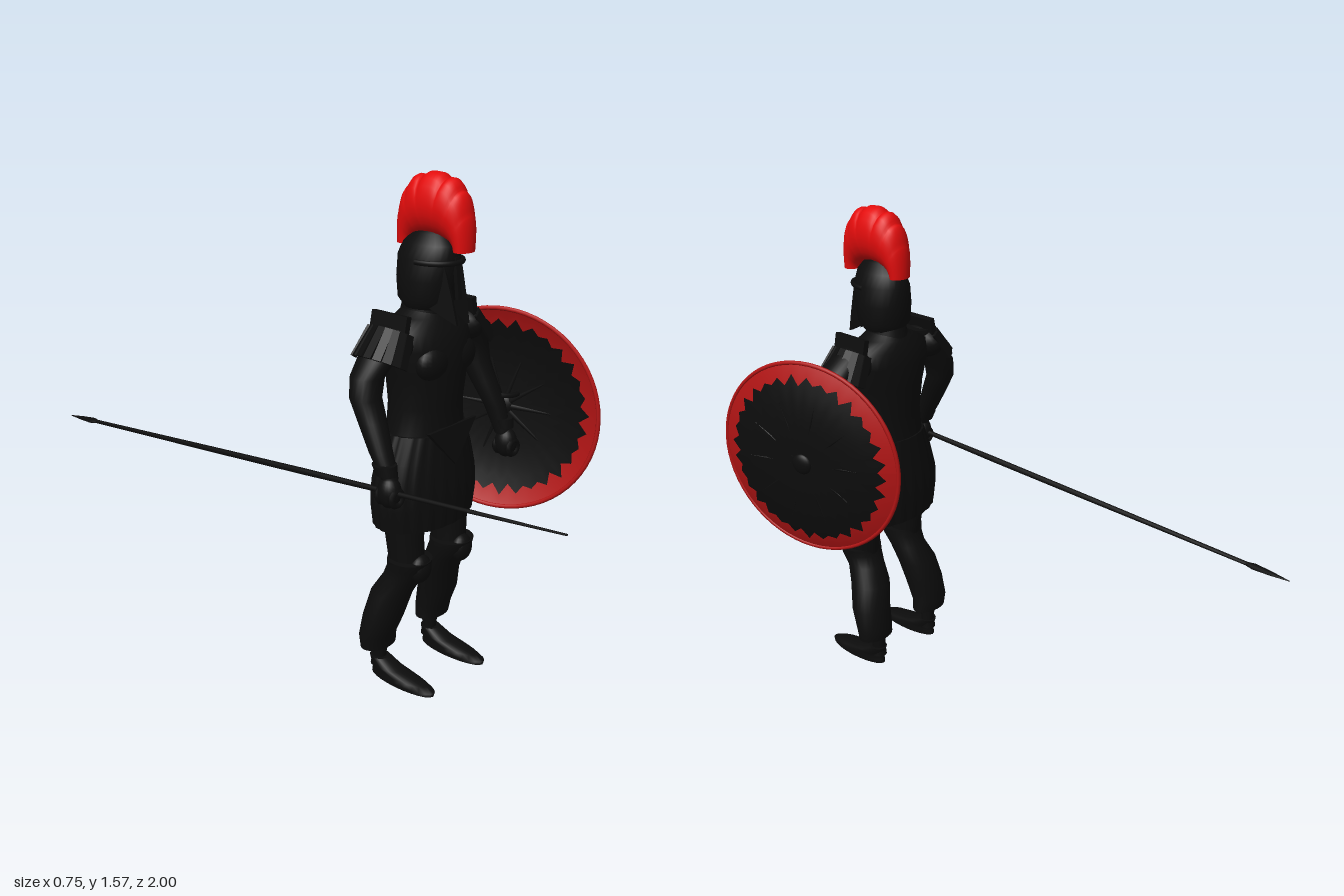
import * as THREE from 'three';

const black = new THREE.MeshStandardMaterial({ color: 0x0c0c0c });
black.name = 'black armour';
black.side = THREE.DoubleSide;
const crestRed = new THREE.MeshStandardMaterial({ color: 0xe30c0c });
crestRed.name = 'crest red';
const rimRed = new THREE.MeshStandardMaterial({ color: 0xb01414 });
rimRed.name = 'shield red';
rimRed.side = THREE.DoubleSide;

function add(parent, name, geometry, material = black, pos = [0, 0, 0], scale = [1, 1, 1]) {
  const mesh = new THREE.Mesh(geometry, material);
  mesh.name = name;
  mesh.position.set(...pos);
  mesh.scale.set(...scale);
  parent.add(mesh);
  return mesh;
}

// Skin over closed rings of points, with flat caps at both ends
function skin(rings) {
  const pos = [], idx = [], n = rings[0].length;
  rings.forEach(r => r.forEach(p => pos.push(...p)));
  for (let i = 0; i < rings.length - 1; i++) {
    for (let j = 0; j < n; j++) {
      const a = i * n + j, b = i * n + (j + 1) % n;
      idx.push(a, b, b + n, a, b + n, a + n);
    }
  }
  [rings[0], rings[rings.length - 1]].forEach((ring, end) => {
    const base = pos.length / 3;
    ring.forEach(p => pos.push(...p));
    pos.push(...[0, 1, 2].map(k => ring.reduce((s, p) => s + p[k], 0) / n));
    for (let j = 0; j < n; j++) {
      const a = base + j, b = base + (j + 1) % n;
      idx.push(base + n, ...(end ? [a, b] : [b, a]));
    }
  });
  const g = new THREE.BufferGeometry();
  g.setAttribute('position', new THREE.Float32BufferAttribute(pos, 3));
  g.setIndex(idx);
  g.computeVertexNormals();
  return g;
}

// Elliptical sections from bottom to top: [y, centre x, centre z, radius x, radius z]
function loft(rows, n = 24, folds = 0, depth = 0) {
  return skin(rows.map(([y, cx, cz, rx, rz]) => Array.from({ length: n }, (_, j) => {
    const a = j / n * Math.PI * 2, f = 1 + depth * Math.cos(a * folds);
    return [cx + rx * f * Math.sin(a), y, cz + rz * f * Math.cos(a)];
  })));
}

const ball = new THREE.SphereGeometry(1, 20, 14);
const X = -0.02;

function buildTorso(g) {
  add(g, 'cuirass', loft([[0.72, X, 0.335, 0.16, 0.108], [0.82, X, 0.335, 0.135, 0.1],
    [0.9, X, 0.335, 0.126, 0.1], [1.0, X, 0.335, 0.136, 0.11], [1.08, X, 0.33, 0.16, 0.112],
    [1.13, X, 0.325, 0.155, 0.095], [1.16, X, 0.32, 0.09, 0.075], [1.18, X, 0.32, 0.06, 0.06]], 32));
  for (const s of [-1, 1]) {
    add(g, 'chestPlate', ball, black, [X + s * 0.06, 1.04, 0.405], [0.065, 0.055, 0.04]);
  }
  add(g, 'skirt', loft([[0.53, X, 0.335, 0.188, 0.118], [0.6, X, 0.335, 0.198, 0.123],
    [0.66, X, 0.335, 0.197, 0.122], [0.74, X, 0.335, 0.175, 0.113], [0.82, X, 0.335, 0.143, 0.105]], 96, 24, 0.012));
  // Pointed lower edge of the breastplate
  const apron = new THREE.Shape([[-0.11, 0.12], [0, 0], [0.11, 0.12]].map(p => new THREE.Vector2(...p)));
  const plate = add(g, 'bellyPlate', new THREE.ExtrudeGeometry(apron, { depth: 0.012, bevelEnabled: false }),
    black, [X, 0.72, 0.444]);
  plate.rotation.x = -0.12;
  add(g, 'neck', loft([[1.13, X, 0.315, 0.07, 0.075], [1.24, X, 0.325, 0.05, 0.06]]));
}

function buildHelmet(g) {
  const hx = -0.018;
  add(g, 'helmetBowl', loft([[1.185, hx, 0.33, 0.066, 0.065], [1.21, hx, 0.33, 0.08, 0.088],
    [1.27, hx, 0.332, 0.084, 0.096], [1.33, hx, 0.335, 0.076, 0.1], [1.37, hx, 0.338, 0.06, 0.088],
    [1.4, hx, 0.34, 0.038, 0.06], [1.415, hx, 0.34, 0.012, 0.02]], 28));
  // Cheek guards sweeping forward and down
  const cheek = new THREE.Shape([[0.32, 1.33], [0.32, 1.21], [0.385, 1.195], [0.478, 1.15], [0.462, 1.22],
    [0.44, 1.3], [0.43, 1.33]].map(([z, y]) => new THREE.Vector2(-z, y)));
  const cheekGeo = new THREE.ExtrudeGeometry(cheek, { depth: 0.012, bevelEnabled: false });
  cheekGeo.rotateY(Math.PI / 2);
  for (const s of [-1, 1]) {
    const c = add(g, 'cheekGuard', cheekGeo, black, [hx + s * 0.05 - 0.006 + s * 0.095, 0, 0]);
    c.rotation.y = -s * 0.26;
  }
  const nose = add(g, 'noseGuard', new THREE.BoxGeometry(0.016, 0.12, 0.012), black, [hx, 1.28, 0.438]);
  nose.rotation.x = -0.12;
  add(g, 'browRidge', new THREE.TorusGeometry(0.09, 0.008, 8, 32, Math.PI), black, [hx, 1.325, 0.345], [0.85, 1.05, 1])
    .rotation.x = Math.PI / 2;

  // Scalloped plume arching from front to back
  const steps = 72, lobes = 7, rings = [];
  for (let i = 0; i <= steps; i++) {
    const t = i / steps * Math.PI, c = Math.cos(t), s = Math.sin(t);
    const lobe = 0.92 + 0.08 * Math.sqrt(Math.abs(Math.sin(t * lobes)));
    const oz = 0.128 * Math.sign(c) * Math.abs(c) ** 0.75 * (0.95 + 0.05 * lobe);
    const oy = 0.212 * Math.abs(s) ** 0.75 * lobe;
    const iz = 0.075 * c, iy = 0.035 * s;
    const w = (0.038 + 0.022 * s) * (0.85 + 0.15 * lobe);
    rings.push(Array.from({ length: 20 }, (_, j) => {
      const a = j / 20 * Math.PI * 2, k = (1 + Math.cos(a)) / 2;
      return [hx + w * Math.sin(a), 1.36 + iy + (oy - iy) * k, 0.357 + iz + (oz - iz) * k];
    }));
  }
  add(g, 'crest', skin(rings), crestRed);
}

function buildArms(g) {
  add(g, 'rightArm', loft([[0.75, -0.285, 0.425, 0.024, 0.026], [0.82, -0.283, 0.39, 0.034, 0.035],
    [0.9, -0.27, 0.345, 0.042, 0.043], [0.96, -0.265, 0.315, 0.048, 0.046], [1.02, -0.252, 0.31, 0.05, 0.05],
    [1.1, -0.195, 0.32, 0.056, 0.062], [1.15, -0.165, 0.325, 0.04, 0.05]]));
  add(g, 'leftArm', loft([[0.73, 0.27, 0.415, 0.024, 0.026], [0.82, 0.262, 0.385, 0.034, 0.035],
    [0.9, 0.245, 0.35, 0.042, 0.042], [0.96, 0.24, 0.32, 0.046, 0.046], [1.02, 0.235, 0.31, 0.05, 0.05],
    [1.08, 0.212, 0.32, 0.06, 0.058], [1.14, 0.14, 0.325, 0.045, 0.05]]));
  for (const [name, x, y, z] of [['rightHand', -0.291, 0.712, 0.43], ['leftHand', 0.274, 0.7, 0.425]]) {
    add(g, name, ball, black, [x, y, z], [0.034, 0.048, 0.036]);
    for (let i = 0; i < 4; i++) {
      add(g, 'finger', new THREE.TorusGeometry(0.022, 0.01, 6, 14), black, [x, y - 0.012, z - 0.024 + i * 0.017]);
    }
    add(g, 'cuff', loft([[y + 0.05, x, z - 0.01, 0.03, 0.032], [y + 0.08, x, z - 0.02, 0.036, 0.036]], 16));
  }
  // Layered shoulder plates with hanging straps
  for (const s of [-1, 1]) {
    const p = new THREE.Group();
    p.name = 'shoulderGuard';
    p.position.set(X + s * 0.165, 1.1, 0.325);
    p.rotation.z = s * 0.5;
    add(p, 'shoulderCap', ball, black, [0, 0, 0], [0.052, 0.058, 0.085]);
    for (let i = 0; i < 9; i++) {
      const a = (i / 8 - 0.5) * 2.7;
      const strap = add(p, 'strap', new THREE.BoxGeometry(0.008, 0.1, 0.026), black,
        [s * 0.055 * Math.cos(a), -0.01, 0.085 * Math.sin(a)]);
      strap.rotation.set(0, -s * a, s * 0.2);
    }
    const collar = add(p, 'raisedPlate', new THREE.BoxGeometry(0.02, 0.085, 0.13), black, [s * 0.015, 0.045, 0]);
    collar.rotation.z = -s * 0.3;
    g.add(p);
  }
}

function buildLegs(g) {
  for (const s of [-1, 1]) {
    const leg = new THREE.Group();
    leg.name = s > 0 ? 'leftLeg' : 'rightLeg';
    const part = (name, rows) => add(leg, name,
      loft(rows.map(([y, off, ...rest]) => [y, X + s * off, ...rest])));
    part('thigh', [[0.38, 0.1, 0.36, 0.05, 0.055], [0.5, 0.105, 0.35, 0.055, 0.062], [0.64, 0.1, 0.34, 0.075, 0.08]]);
    part('greave', [[0.11, 0.134, 0.275, 0.067, 0.044], [0.15, 0.138, 0.276, 0.068, 0.05],
      [0.22, 0.133, 0.295, 0.07, 0.06], [0.3, 0.116, 0.313, 0.07, 0.062], [0.36, 0.102, 0.345, 0.062, 0.06],
      [0.4, 0.1, 0.367, 0.068, 0.066], [0.425, 0.102, 0.37, 0.07, 0.068]]);
    part('ankle', [[0.03, 0.125, 0.272, 0.026, 0.028], [0.07, 0.124, 0.272, 0.022, 0.022], [0.14, 0.128, 0.275, 0.034, 0.034]]);
    part('foot', [[0, 0.126, 0.37, 0.038, 0.122], [0.012, 0.126, 0.372, 0.041, 0.123],
      [0.024, 0.126, 0.36, 0.037, 0.105], [0.038, 0.126, 0.31, 0.036, 0.06], [0.062, 0.126, 0.275, 0.03, 0.032]]);
    add(leg, 'kneeCap', ball, black, [X + s * 0.1, 0.4, 0.41], [0.04, 0.045, 0.03]);
    g.add(leg);
  }
}

function buildShield(g) {
  const shield = new THREE.Group(), R = 0.327;
  shield.name = 'shield';
  const height = r => 0.052 * (1 - (r / R) ** 3);
  const jag = i => 0.27 + (i % 2 ? 0.016 : -0.008) + 0.006 * Math.sin(i * 2.3);
  // Domed ring between two radius rules
  const dish = (inner, outer) => {
    const n = 64, geo = new THREE.RingGeometry(0, 1, n, 8), p = geo.attributes.position;
    for (let v = 0; v < p.count; v++) {
      const i = v % (n + 1), k = Math.floor(v / (n + 1)) / 8, a = i / n * Math.PI * 2;
      const r = inner(i % n) + (outer(i % n) - inner(i % n)) * k;
      p.setXYZ(v, r * Math.cos(a), r * Math.sin(a), height(r));
    }
    geo.computeVertexNormals();
    return geo;
  };
  add(shield, 'shieldFace', dish(() => 0, jag));
  add(shield, 'shieldBorder', dish(jag, () => R), rimRed);
  add(shield, 'shieldEdge', new THREE.TorusGeometry(R - 0.003, 0.007, 8, 64), rimRed);
  add(shield, 'boss', ball, black, [0, 0, 0.05], [0.035, 0.035, 0.015]);
  for (let i = 0; i < 10; i++) {
    const a = i / 10 * Math.PI * 2;
    const rib = add(shield, 'rib', new THREE.ConeGeometry(0.009, 0.18, 6), black,
      [0.12 * Math.cos(a), 0.12 * Math.sin(a), 0.047], [1, 1, 0.6]);
    rib.rotation.z = a - Math.PI / 2;
  }
  add(shield, 'armBand', new THREE.TorusGeometry(0.05, 0.008, 6, 20, Math.PI), black, [0, 0.05, 0.04])
    .rotation.x = -Math.PI / 2;
  shield.position.set(0.2725, 0.8, 0.387);
  shield.quaternion.setFromUnitVectors(new THREE.Vector3(0, 0, 1), new THREE.Vector3(0.963, -0.03, -0.268).normalize());
  g.add(shield);
}

function buildSpear(g) {
  const spear = new THREE.Group();
  spear.name = 'spear';
  add(spear, 'shaft', loft([[-1.003, 0, 0, 0.003, 0.003], [-0.7, 0, 0, 0.006, 0.006], [-0.1, 0, 0, 0.01, 0.01],
    [0.3, 0, 0, 0.009, 0.009], [0.88, 0, 0, 0.006, 0.006]], 10));
  add(spear, 'spearHead', loft([[0.86, 0, 0, 0.007, 0.006], [0.885, 0, 0, 0.017, 0.007],
    [0.94, 0, 0, 0.01, 0.006], [1.003, 0, 0, 0.001, 0.001]], 8));
  spear.position.set(-0.3125, 0.68, 0);
  spear.quaternion.setFromUnitVectors(new THREE.Vector3(0, 1, 0), new THREE.Vector3(-0.095, -0.15, -2).normalize());
  g.add(spear);
}

export function createModel() {
  const warrior = new THREE.Group();
  warrior.name = 'warrior';
  [buildTorso, buildHelmet, buildArms, buildLegs, buildShield, buildSpear].forEach(build => build(warrior));
  return warrior;
}
